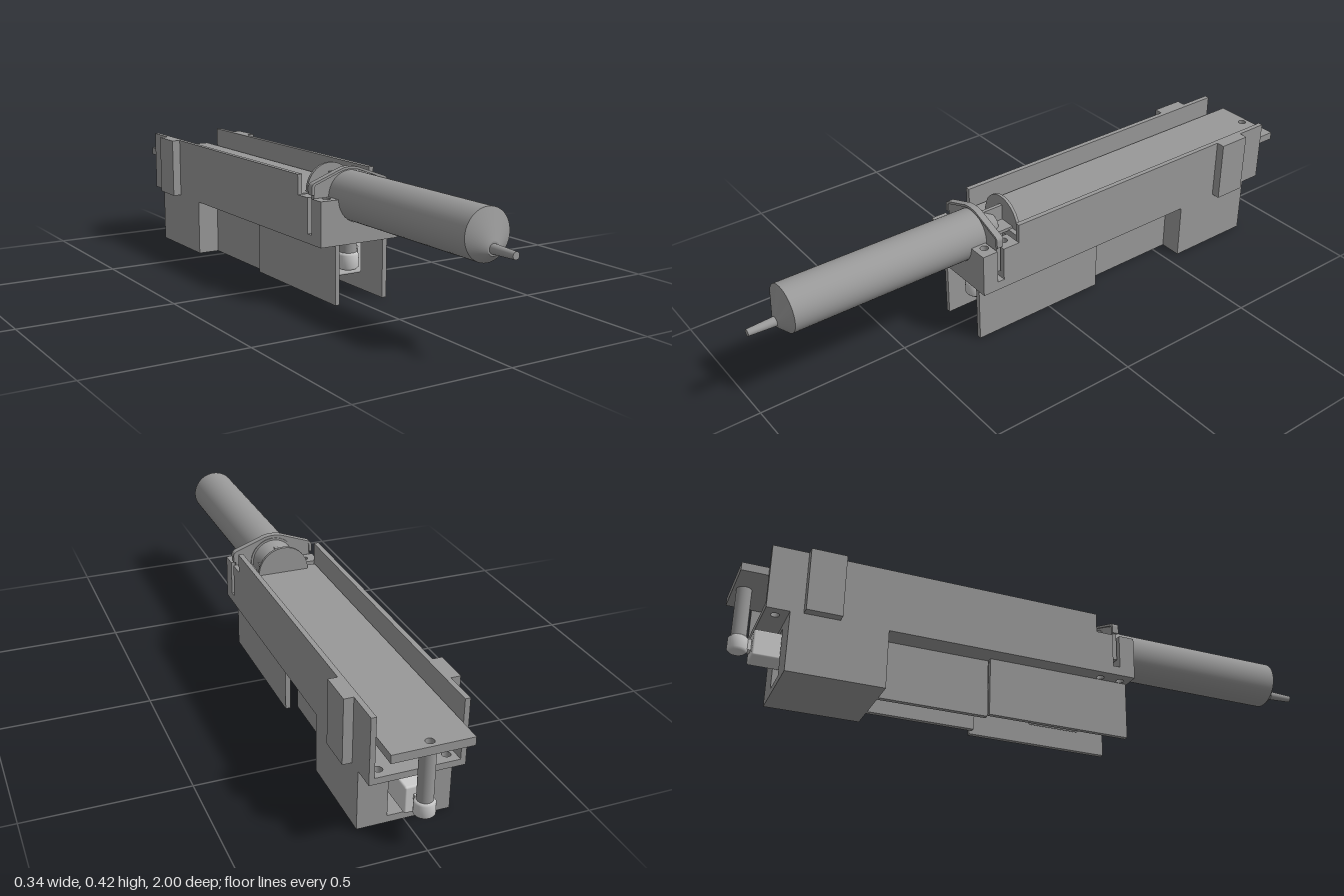
import * as THREE from 'three';
import { RoundedBoxGeometry } from 'three/addons/geometries/RoundedBoxGeometry.js';

export function createModel() {
  const model = new THREE.Group();
  const gray = new THREE.MeshStandardMaterial({ color: 0x999999 });
  gray.name = 'body gray';
  const light = new THREE.MeshStandardMaterial({ color: 0xcccccc });
  light.name = 'light gray';

  function add(name, geometry, material = gray) {
    const mesh = new THREE.Mesh(geometry, material);
    mesh.name = name;
    model.add(mesh);
    return mesh;
  }
  // Box given by its limits on each axis
  function box(name, x0, x1, y0, y1, z0, z1, material = gray, radius = 0) {
    const s = [x1 - x0, y1 - y0, z1 - z0];
    const g = radius ? new RoundedBoxGeometry(...s, 3, radius) : new THREE.BoxGeometry(...s);
    g.translate((x0 + x1) / 2, (y0 + y1) / 2, (z0 + z1) / 2);
    return add(name, g, material);
  }
  function rect(x0, x1, y0, y1) {
    const s = new THREE.Shape();
    s.moveTo(x0, y0).lineTo(x1, y0).lineTo(x1, y1).lineTo(x0, y1).closePath();
    return s;
  }
  function extrudeZ(name, shape, z0, z1) {
    const g = new THREE.ExtrudeGeometry(shape, { depth: z1 - z0, bevelEnabled: false, curveSegments: 24 });
    return add(name, g.translate(0, 0, z0));
  }
  // Horizontal plate with round holes given as [x, z]
  function plate(name, x0, x1, y0, y1, z0, z1, holes, r = 0.013) {
    const s = rect(x0, x1, -z1, -z0);
    for (const [x, z] of holes) {
      s.holes.push(new THREE.Path().absarc(x, -z, r, 0, Math.PI * 2, true));
    }
    const g = new THREE.ExtrudeGeometry(s, { depth: y1 - y0, bevelEnabled: false, curveSegments: 16 });
    return add(name, g.rotateX(-Math.PI / 2).translate(0, y0, 0));
  }
  function cylinderZ(name, rFront, rBack, y, z0, z1) {
    const g = new THREE.CylinderGeometry(rFront, rBack, z1 - z0, 48).rotateX(Math.PI / 2);
    return add(name, g.translate(0, y, (z0 + z1) / 2));
  }

  // Upper channel
  plate('channelFloor', -0.141, 0.141, 0.19, 0.21, -0.92, 0.15, [[-0.1, -0.885], [0.1, -0.885]]);
  for (const s of [-1, 1]) {
    const side = (name, a, b, ...rest) => box(name, Math.min(s * a, s * b), Math.max(s * a, s * b), ...rest);
    side('channelWall', 0.125, 0.141, 0.21, 0.397, -0.92, 0.15);
    side('sideBracket', 0.13, 0.17, 0.192, 0.397, -0.81, -0.7);
    side('middleWall', 0.05, 0.066, 0, 0.19, -0.55, -0.2);
  }

  // Sliding plate with a pin hole at the back
  plate('slidingPlate', -0.12, 0.12, 0.305, 0.331, -1, 0.13, [[0, -0.975]]);

  // Front cradle in two halves, with a slot between for the flange
  for (const [z0, z1, hz] of [[0.15, 0.208, 0.18], [0.232, 0.285, 0.252]]) {
    for (const s of [-1, 1]) {
      plate('cradleSide', Math.min(s * 0.08, s * 0.141), Math.max(s * 0.08, s * 0.141),
        0.19, 0.333, z0, z1, [[s * 0.1, hz]]);
    }
    const cut = new THREE.Shape();
    cut.moveTo(-0.08, 0.19).lineTo(0.08, 0.19).lineTo(0.08, 0.333);
    cut.absarc(0, 0.333, 0.078, 0, Math.PI, true);
    cut.lineTo(-0.08, 0.333).closePath();
    extrudeZ('cradleCentre', cut, z0, z1);
  }
  box('cradleSlotFloor', -0.141, 0.141, 0.19, 0.22, 0.208, 0.232);

  // Arched flange and its raised rim
  const flange = new THREE.Shape();
  flange.moveTo(-0.13, 0.25).lineTo(0.13, 0.25).lineTo(0.13, 0.37).lineTo(0.03, 0.41);
  flange.quadraticCurveTo(0, 0.42, -0.03, 0.41).lineTo(-0.13, 0.37).closePath();
  extrudeZ('flange', flange, 0.213, 0.227);
  const rim = new THREE.Shape();
  rim.moveTo(0.139, 0.343).lineTo(0.139, 0.367).quadraticCurveTo(0.138, 0.377, 0.128, 0.381);
  rim.lineTo(0.03, 0.417).quadraticCurveTo(0, 0.425, -0.03, 0.417).lineTo(-0.128, 0.381);
  rim.quadraticCurveTo(-0.138, 0.377, -0.139, 0.367).lineTo(-0.139, 0.343).lineTo(-0.131, 0.343);
  rim.lineTo(-0.131, 0.366).lineTo(-0.126, 0.373).lineTo(-0.03, 0.409);
  rim.quadraticCurveTo(0, 0.417, 0.03, 0.409).lineTo(0.126, 0.373).lineTo(0.131, 0.366);
  rim.lineTo(0.131, 0.343).closePath();
  extrudeZ('flangeRim', rim, 0.209, 0.231);

  // Barrel, skewed shoulder and off-centre nozzle
  cylinderZ('barrel', 0.077, 0.077, 0.333, 0.21, 0.885);
  const shoulder = cylinderZ('barrelShoulder', 0.02, 0.077, 0.333, 0.885, 0.912).geometry;
  const p = shoulder.attributes.position;
  for (let i = 0; i < p.count; i++) {
    if (p.getZ(i) > 0.9) p.setY(i, p.getY(i) - 0.033);
  }
  shoulder.computeVertexNormals();
  cylinderZ('nozzle', 0.011, 0.015, 0.3, 0.91, 1);

  // Plunger: end disc, cross ribs and a flared collar
  cylinderZ('plungerDisc', 0.085, 0.085, 0.333, 0.105, 0.115);
  box('plungerRib', -0.06, 0.06, 0.328, 0.338, 0.115, 0.21);
  box('plungerRib', -0.006, 0.006, 0.275, 0.39, 0.115, 0.21);
  cylinderZ('plungerCollar', 0.07, 0.035, 0.333, 0.15, 0.21);

  // Lower front walls around the motor
  box('frontWall', -0.085, -0.07, 0, 0.19, -0.2, 0.28);
  box('frontWall', 0.09, 0.106, 0, 0.19, -0.2, 0.28);

  // Rear block with a tunnel through it
  const block = rect(-0.141, 0.141, 0, 0.19);
  block.holes.push(rect(-0.05, 0.05, 0.022, 0.175));
  extrudeZ('rearBlock', block, -0.85, -0.55);

  // Motor and its side lug
  box('motor', -0.06, 0.08, 0.06, 0.178, 0, 0.18, light, 0.008);
  box('motorLug', 0.035, 0.06, 0.085, 0.158, 0.17, 0.195, light, 0.01);
  box('motorLugFace', 0.042, 0.053, 0.096, 0.147, 0.19, 0.199, light, 0.004);
  box('rearSensor', -0.04, 0.04, 0.08, 0.165, -0.93, -0.72, light, 0.006);
  box('rearSensorNeck', -0.015, 0.015, 0.105, 0.14, -0.96, -0.92, light);

  // Upright pins in rounded cups
  const cupProfile = [[0, 0.094], [0.026, 0.094], [0.034, 0.102], [0.034, 0.141], [0.027, 0.149], [0, 0.149]]
    .map(([r, y]) => new THREE.Vector2(r, y));
  for (const [z, top] of [[0.22, 0.19], [-0.967, 0.306]]) {
    const k = z > 0 ? 1 : 0.9;
    add('pinCup', new THREE.LatheGeometry(cupProfile, 32)
      .translate(0, -0.122, 0).scale(k, k, k).translate(0, 0.122, z), light);
    add('pin', new THREE.CylinderGeometry(0.026 * k, 0.026 * k, top - 0.13, 32)
      .translate(0, (top + 0.13) / 2, z));
  }
  return model;
}
